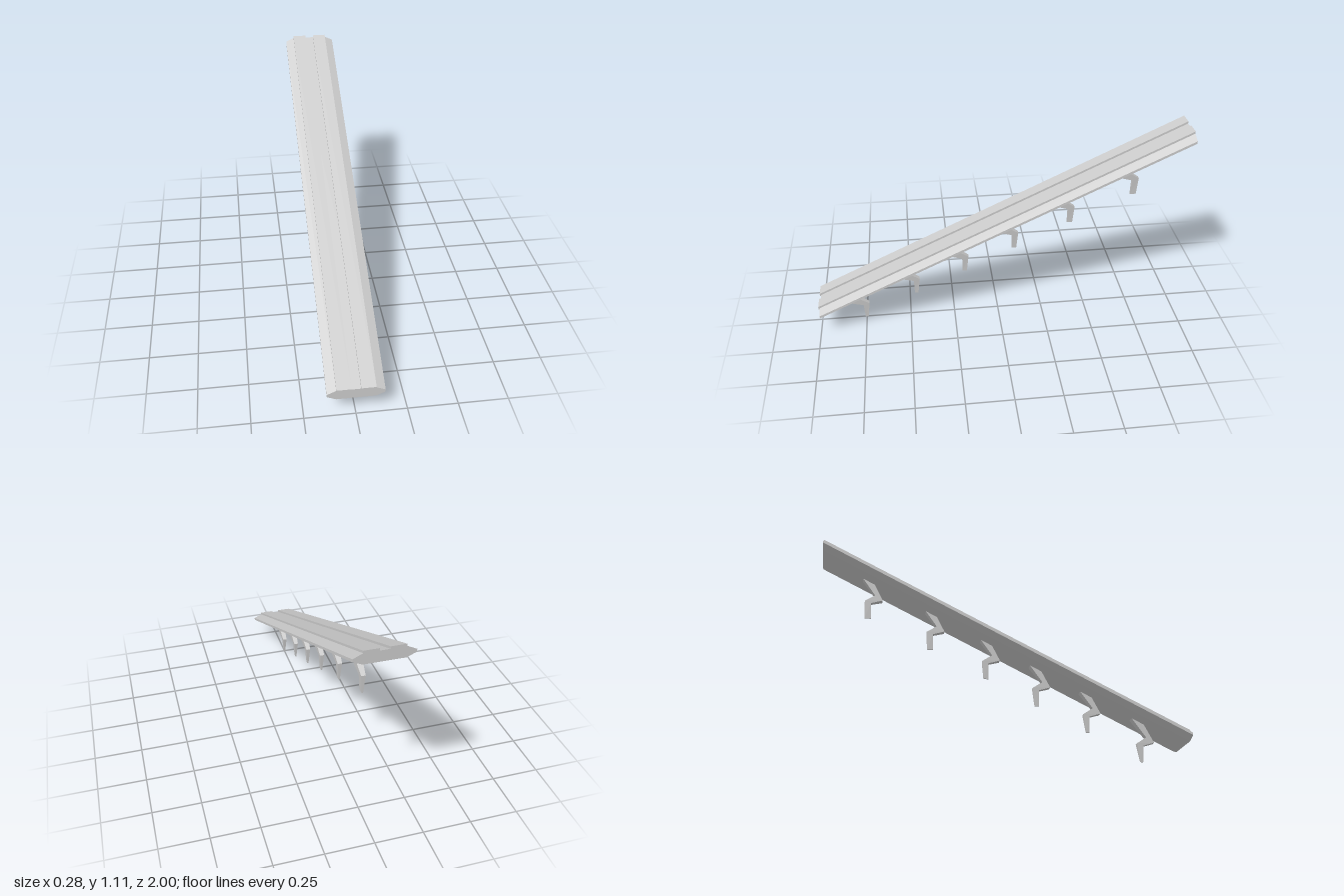
import * as THREE from 'three';

const SLOPE = 0.475; // rise of the beam per unit of -z
const BODY_FRONT = 0.993;

export function createModel() {
  const group = new THREE.Group();
  group.name = 'spikedBeam';
  const material = new THREE.MeshStandardMaterial({ color: 0xcccccc, flatShading: true });

  const add = (name, geometry) => {
    geometry.computeVertexNormals();
    const mesh = new THREE.Mesh(geometry, material);
    mesh.name = name;
    group.add(mesh);
  };

  // Extrudes an upright profile from z = -1 and shears it up towards the back
  const slopedBar = (points, front) => {
    const shape = new THREE.Shape(points.map(([x, y]) => new THREE.Vector2(x, y)));
    const geometry = new THREE.ExtrudeGeometry(shape, { depth: front + 1, bevelEnabled: false });
    geometry.translate(0, 0, -1);
    const p = geometry.attributes.position;
    for (let i = 0; i < p.count; i++) {
      p.setY(i, p.getY(i) + 0.1 + SLOPE * (BODY_FRONT - p.getZ(i)));
    }
    return geometry;
  };

  // Beam body with chamfered edges
  const half = [[0.095, 0], [0.14, 0.02], [0.14, 0.034], [0.095, 0.055]];
  const mirrored = half.map(([x, y]) => [-x, y]).reverse();
  add('beamBody', slopedBar([...half, ...mirrored], BODY_FRONT));

  // Two raised rails with a groove between them
  for (const [name, x0, x1] of [['leftRail', 0.023, 0.095], ['rightRail', -0.095, -0.023]]) {
    add(name, slopedBar([[x0, 0.05], [x1, 0.05], [x1, 0.067], [x0, 0.067]], 1));
  }

  // Zigzag spike: tapered rectangular sections from the tip up into the beam
  const spike = (tipHalf) => {
    // front z, front y, back z, back y, half width
    const sections = [
      [tipHalf, 0, -tipHalf, 0, 0.003],
      [0.012, 0.088, -0.022, 0.1, 0.011],
      [0.073, 0.108, 0.03, 0.135, 0.015],
      [0, 0.245, -0.055, 0.25, 0.02],
    ];
    const positions = [];
    const index = [];
    sections.forEach(([fz, fy, bz, by, w], s) => {
      positions.push(-w, fy, fz, w, fy, fz, w, by, bz, -w, by, bz);
      if (s === 0) return;
      for (let k = 0; k < 4; k++) {
        const a = (s - 1) * 4 + k, b = (s - 1) * 4 + (k + 1) % 4;
        index.push(a, b, b + 4, a, b + 4, a + 4);
      }
    });
    const t = (sections.length - 1) * 4;
    index.push(0, 2, 1, 0, 3, 2, t, t + 1, t + 2, t, t + 2, t + 3);
    const geometry = new THREE.BufferGeometry();
    geometry.setAttribute('position', new THREE.Float32BufferAttribute(positions, 3));
    geometry.setIndex(index);
    return geometry.toNonIndexed();
  };

  // Row of spikes under the beam, with blunter tips towards the back
  const tips = [[0.75, 0], [0.46, 0.145], [0.185, 0.275], [-0.09, 0.41], [-0.395, 0.555], [-0.735, 0.71]];
  tips.forEach(([z, y], i) => {
    add('spike' + (i + 1), spike(0.008 + 0.0018 * i).translate(0, y, z));
  });

  return group;
}
